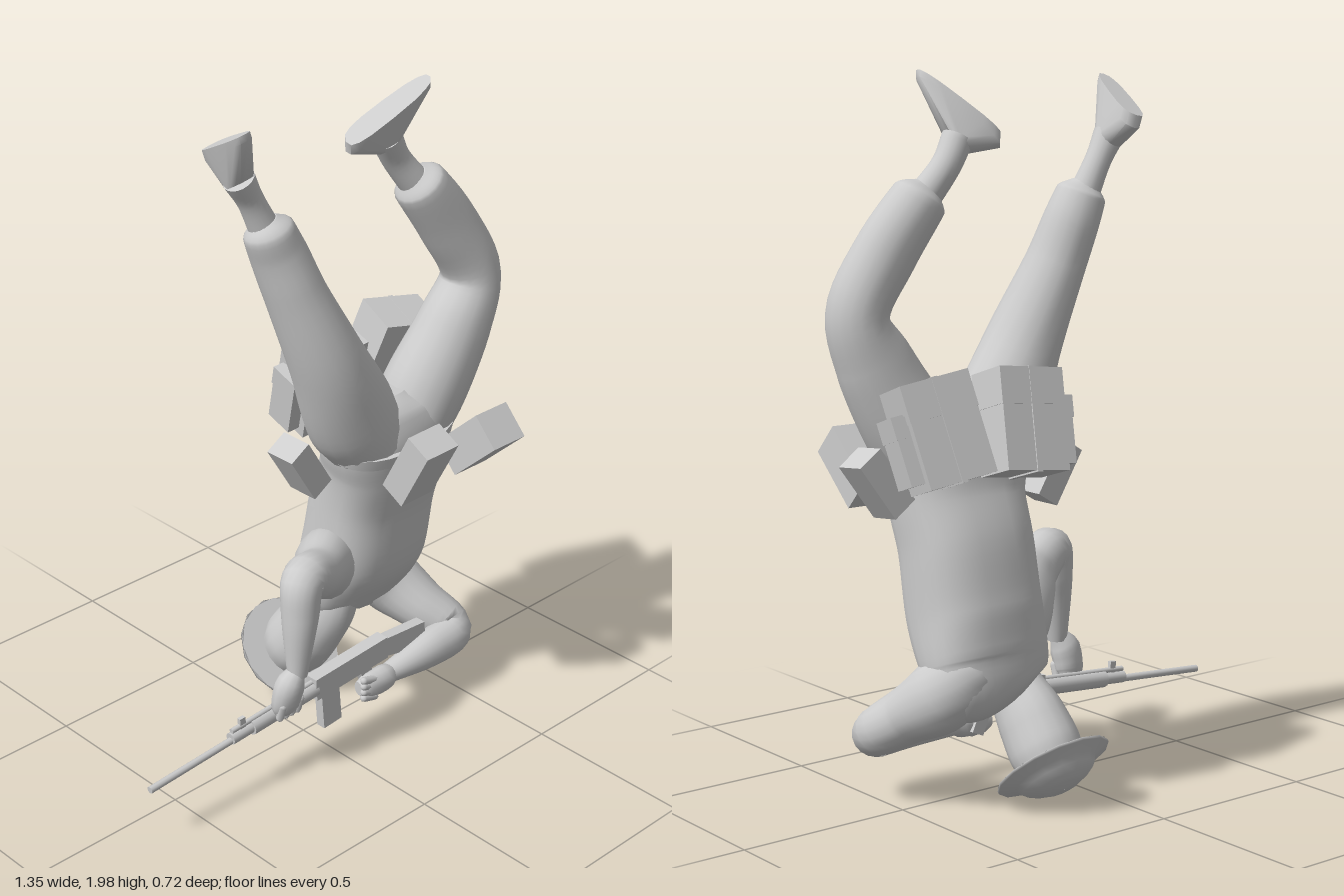
import * as THREE from 'three';
import { toCreasedNormals } from 'three/addons/utils/BufferGeometryUtils.js';
import { ConvexGeometry } from 'three/addons/geometries/ConvexGeometry.js';

const V = (x, y, z) => new THREE.Vector3(x, y, z);
const bulge = (v, e) => Math.sign(v) * Math.abs(v) ** e; // e below 1 squares off a circle

// Loft of rings along a smooth path; each point is [x, y, z, r1, r2], r1 lies along ref
function loft(pts, { ref = V(1, 0, 0), sides = 18, steps = 6, e = 1 } = {}) {
  const path = new THREE.CatmullRomCurve3(pts.map(p => V(p[0], p[1], p[2])));
  const radii = new THREE.CatmullRomCurve3(pts.map(p => V(p[3], p[4] ?? p[3], 0)));
  const n = (pts.length - 1) * steps, pos = [], idx = [];
  for (let i = 0; i <= n; i++) {
    const c = path.getPoint(i / n), r = radii.getPoint(i / n), t = path.getTangent(i / n);
    const u = ref.clone().addScaledVector(t, -ref.dot(t)).normalize();
    const v = t.clone().cross(u);
    for (let j = 0; j < sides; j++) {
      const a = (j / sides) * Math.PI * 2;
      const p = c.clone().addScaledVector(u, bulge(Math.cos(a), e) * r.x).addScaledVector(v, bulge(Math.sin(a), e) * r.y);
      pos.push(p.x, p.y, p.z);
    }
  }
  for (let i = 0; i < n; i++) for (let j = 0; j < sides; j++) {
    const k = (j + 1) % sides, a = i * sides + j, b = i * sides + k;
    idx.push(a, b, b + sides, a, b + sides, a + sides);
  }
  // end caps with their own vertices, so the rim stays sharp
  for (const end of [0, n]) {
    const base = pos.length / 3, c = path.getPoint(end / n);
    pos.push(...pos.slice(end * sides * 3, (end + 1) * sides * 3), c.x, c.y, c.z);
    for (let j = 0; j < sides; j++) {
      const a = base + j, b = base + (j + 1) % sides;
      idx.push(base + sides, ...(end ? [a, b] : [b, a]));
    }
  }
  const g = new THREE.BufferGeometry();
  g.setAttribute('position', new THREE.Float32BufferAttribute(pos, 3));
  g.setIndex(idx);
  g.computeVertexNormals();
  return g;
}

// Wedge-shaped shoe: hull of a long blunt sole and the ring of the ankle
function shoe(toe, heel, ankle, ankleRadius) {
  const mid = toe.clone().lerp(heel, 0.5), along = toe.clone().sub(mid);
  const up = mid.clone().sub(ankle).normalize();
  const side = along.clone().cross(up).normalize(), dir = along.clone().normalize();
  const pts = [];
  for (let i = 0; i < 16; i++) {
    const a = (i / 16) * Math.PI * 2, c = Math.cos(a), s = Math.sin(a);
    const rim = mid.clone().addScaledVector(along, bulge(c, 0.7)).addScaledVector(side, bulge(s, 0.7) * (0.038 + 0.006 * c));
    pts.push(rim, rim.clone().addScaledVector(up, -0.02 - 0.015 * Math.max(c, 0)));
    pts.push(ankle.clone().addScaledVector(dir, c * ankleRadius).addScaledVector(side, s * ankleRadius * 0.85));
  }
  return toCreasedNormals(new ConvexGeometry(pts), 0.8);
}

export function createModel() {
  const root = new THREE.Group();
  const grey = new THREE.MeshStandardMaterial({ color: 0xcccccc, side: THREE.DoubleSide });
  grey.name = 'plain grey';

  const add = (name, geo, p = [0, 0, 0], r = [0, 0, 0], parent = root) => {
    const m = new THREE.Mesh(geo, grey);
    m.name = name;
    m.position.set(...p);
    m.rotation.set(...r);
    parent.add(m);
    return m;
  };
  const box = (name, s, p, r, parent) => add(name, new THREE.BoxGeometry(...s), p, r, parent);
  const group = (name, p, r) => {
    const g = new THREE.Group();
    g.name = name;
    g.position.set(...p);
    g.rotation.set(...r);
    root.add(g);
    return g;
  };

  // Torso, upside down, shoulders at the bottom
  add('torso', loft([
    [0.26, 0.29, -0.10, 0.06, 0.04],
    [0.285, 0.345, -0.11, 0.17, 0.095],
    [0.285, 0.42, -0.085, 0.188, 0.125],
    [0.285, 0.55, -0.04, 0.187, 0.155],
    [0.288, 0.72, -0.01, 0.187, 0.15],
    [0.288, 0.85, 0.03, 0.196, 0.14],
    [0.278, 0.95, 0.045, 0.21, 0.135],
    [0.27, 1.03, 0.05, 0.15, 0.105],
    [0.27, 1.07, 0.05, 0.05, 0.05],
  ], { sides: 28, e: 0.8 }));
  add('belt', loft([[0.278, 0.925, 0.042, 0.214, 0.146], [0.276, 0.96, 0.047, 0.22, 0.148]], { sides: 28, steps: 1, e: 0.8 }));

  // Trouser legs, closing in on the ankles at the cuffs
  add('rightLeg', loft([
    [0.19, 0.93, 0.05, 0.11, 0.12],
    [0.13, 1.04, 0.055, 0.135, 0.125],
    [0.03, 1.24, 0.065, 0.107, 0.112],
    [-0.06, 1.46, 0.032, 0.082, 0.09],
    [-0.10, 1.58, 0.01, 0.077, 0.08],
    [-0.13, 1.65, 0.005, 0.07, 0.07],
    [-0.14, 1.68, 0.0, 0.035, 0.035],
  ]));
  add('leftLeg', loft([
    [0.36, 0.93, 0.05, 0.11, 0.12],
    [0.42, 1.04, 0.065, 0.125, 0.12],
    [0.51, 1.21, 0.085, 0.11, 0.105],
    [0.565, 1.35, 0.09, 0.083, 0.09],
    [0.49, 1.51, 0.07, 0.088, 0.083],
    [0.388, 1.655, 0.05, 0.076, 0.078],
    [0.368, 1.683, 0.045, 0.038, 0.038],
  ]));

  // Ankles and shoes
  add('rightAnkle', loft([[-0.125, 1.63, 0.0, 0.045], [-0.175, 1.74, -0.012, 0.037], [-0.215, 1.81, -0.012, 0.044]]));
  add('leftAnkle', loft([[0.385, 1.65, 0.045, 0.046], [0.32, 1.74, 0.025, 0.041], [0.278, 1.81, 0.03, 0.044]]));
  add('rightShoe', shoe(V(-0.208, 1.865, -0.135), V(-0.282, 1.975, 0.09), V(-0.212, 1.80, -0.012), 0.047));
  add('leftShoe', shoe(V(0.165, 1.815, -0.01), V(0.342, 1.988, 0.125), V(0.283, 1.80, 0.028), 0.047));

  // Arms
  const up = { ref: V(0, 0, 1) };
  add('rightArm', loft([
    [0.24, 0.46, -0.09, 0.05, 0.06],
    [0.18, 0.495, -0.065, 0.1, 0.118],
    [0.09, 0.55, -0.005, 0.09, 0.108],
    [-0.01, 0.59, 0.07, 0.07, 0.076],
    [-0.115, 0.628, 0.12, 0.062, 0.062],
    [-0.14, 0.53, 0.135, 0.055, 0.052],
    [-0.16, 0.35, 0.145, 0.03, 0.028],
  ], up));
  add('leftArm', loft([
    [0.31, 0.45, -0.11, 0.04, 0.04],
    [0.37, 0.39, -0.105, 0.098, 0.098],
    [0.42, 0.33, -0.07, 0.1, 0.097],
    [0.465, 0.265, 0.02, 0.08, 0.083],
    [0.505, 0.20, 0.115, 0.066, 0.066],
    [0.39, 0.188, 0.135, 0.057, 0.052],
    [0.23, 0.17, 0.125, 0.03, 0.032],
  ], { ref: V(0, 1, 0) }));

  // Hands with curled fingers
  add('rightHand', loft([[-0.16, 0.365, 0.145, 0.024, 0.024], [-0.185, 0.32, 0.14, 0.042, 0.046],
    [-0.192, 0.26, 0.13, 0.036, 0.045], [-0.185, 0.23, 0.12, 0.02, 0.03]], { ...up, sides: 12, steps: 3 }));
  add('leftHand', loft([[0.245, 0.17, 0.125, 0.024, 0.024], [0.20, 0.168, 0.13, 0.042, 0.036],
    [0.14, 0.165, 0.125, 0.04, 0.032], [0.11, 0.165, 0.12, 0.022, 0.02]], { ref: V(0, 1, 0), sides: 12, steps: 3 }));
  const finger = new THREE.CapsuleGeometry(0.012, 0.045, 3, 8);
  for (let i = 0; i < 4; i++) {
    add('rightFinger', finger, [-0.221 + i * 0.022, 0.25, 0.145], [0.3, 0, 0]);
    add('leftFinger', finger, [0.135, 0.135 + i * 0.02, 0.14], [0, 0, 1.3]);
  }

  // Head, neck and brimmed helmet
  add('head', loft([
    [0.19, 0.41, -0.06, 0.06, 0.08],
    [0.18, 0.33, -0.08, 0.07, 0.085],
    [0.17, 0.24, -0.145, 0.09, 0.105],
    [0.165, 0.17, -0.195, 0.098, 0.108],
    [0.165, 0.11, -0.24, 0.085, 0.09],
  ]));
  add('nose', new THREE.ConeGeometry(0.018, 0.04, 8), [0.165, 0.165, -0.085], [0.7, 0, 0]);
  const hat = add('helmet', new THREE.LatheGeometry(
    [[0.165, -0.008], [0.165, 0.0], [0.118, 0.014], [0.108, 0.032], [0.08, 0.05], [0.06, 0.055], [0.05, 0.062], [0.001, 0.066]]
      .map(p => new THREE.Vector2(...p)), 14), [0.163, 0.119, -0.234]);
  hat.quaternion.setFromUnitVectors(V(0, 1, 0), V(0, -0.754, -0.657).normalize());
  add('brimUnderside', new THREE.RingGeometry(0.085, 0.163, 14), [0, -0.008, 0], [Math.PI / 2, 0, 0], hat);

  // Belt pouches
  box('frontRightPouch', [0.12, 0.215, 0.085], [0.21, 0.925, 0.25], [0.5, 0, 0.04]);
  box('frontLeftPouch', [0.125, 0.2, 0.11], [0.455, 0.92, 0.25], [0.82, 0, 0]);
  box('rightHipPouch', [0.075, 0.17, 0.1], [0.005, 0.893, -0.02], [0, 0, 0.55]);
  box('leftHipPouch', [0.08, 0.175, 0.1], [0.592, 0.925, -0.03], [0.1, 0, -0.6]);

  // Two packs on the back, each with a side pocket and a strap
  for (const [name, x, s, yaw] of [['rightPack', 0.203, -1, -0.05], ['leftPack', 0.475, 1, -0.2]]) {
    const g = group(name, [x, 1.06, -0.145], [0.3, yaw, s * -0.12]);
    box('packBody', [0.196, 0.275, 0.134], [0, 0, 0], [0, 0, 0], g);
    box('packLid', [0.2, 0.1, 0.138], [0, 0.09, 0], [0, 0, 0], g);
    box('sidePocket', [0.045, 0.18, 0.09], [s * 0.115, -0.025, 0], [0, 0, 0], g);
    box('pocketFlap', [0.035, 0.06, 0.096], [s * 0.123, 0.04, 0], [0, 0, 0], g);
    box('strap', [0.016, 0.284, 0.141], [0, 0, 0], [0, 0, 0], g);
  }

  // Rifle lying across the chest
  const rifle = group('rifle', [-0.06, 0.232, 0.1], [0, 0, 0.07]);
  const rod = (name, r, x0, x1, y = 0) => add(name, new THREE.CylinderGeometry(r, r, x1 - x0, 10),
    [(x0 + x1) / 2, y, 0], [0, 0, Math.PI / 2], rifle);
  rod('barrel', 0.0105, -0.612, -0.3, -0.006);
  rod('gasBlock', 0.018, -0.315, -0.22);
  rod('handguard', 0.025, -0.24, 0.01);
  rod('gasTube', 0.008, -0.31, 0, 0.024);
  box('frontSight', [0.02, 0.05, 0.012], [-0.27, 0.025, 0], [0, 0, 0], rifle);
  box('receiver', [0.29, 0.072, 0.042], [0.145, 0.005, 0], [0, 0, 0], rifle);
  box('magazine', [0.07, 0.125, 0.03], [0.06, -0.085, 0], [0, 0, 0.02], rifle);
  box('grip', [0.04, 0.09, 0.03], [0.215, -0.065, 0], [0, 0, 0.35], rifle);
  const stock = new THREE.Shape([[0.28, 0.035], [0.45, 0.012], [0.45, -0.075], [0.28, -0.025]].map(p => new THREE.Vector2(...p)));
  add('stock', new THREE.ExtrudeGeometry(stock, { depth: 0.034, bevelEnabled: false }), [0, 0, -0.017], [0, 0, 0], rifle);

  return root;
}
